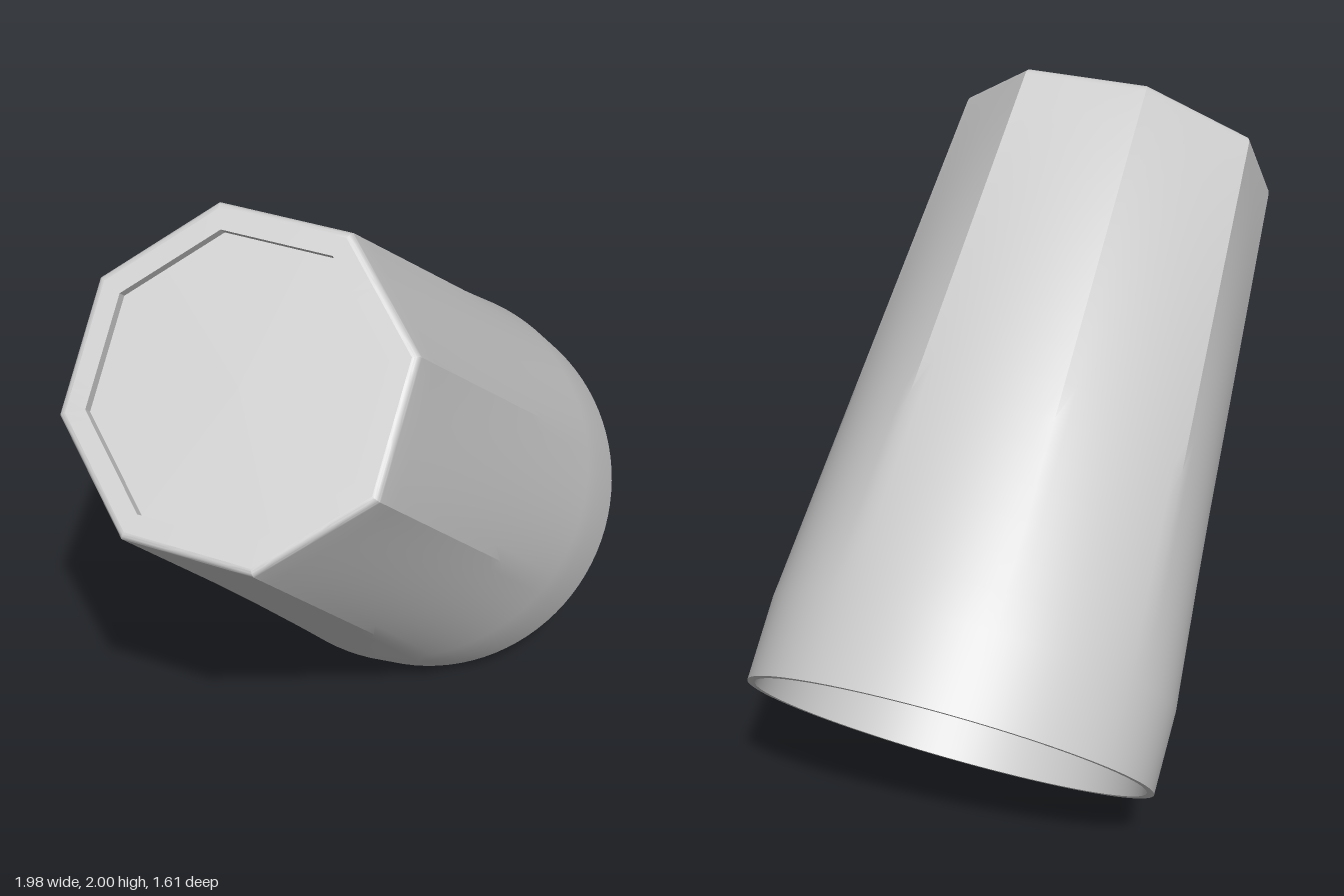
import * as THREE from 'three';
import { toCreasedNormals } from 'three/addons/utils/BufferGeometryUtils.js';

const SIDES = 8, SEGMENTS = 96;
const HALF = Math.PI / SIDES;
const material = new THREE.MeshStandardMaterial({ color: 0xcccccc });

// Distance from the axis at an angle: octagon = 0 gives a circle, 1 an octagon of that corner radius.
function radiusAt(angle, r, octagon) {
  const flat = r * Math.cos(HALF) / Math.cos((angle % (2 * HALF)) - HALF);
  return THREE.MathUtils.lerp(r, flat, octagon);
}

// Skin through rings given as [radius, height, octagon amount].
function skin(name, rings) {
  const positions = [], index = [];
  rings.forEach(([r, h, octagon], j) => {
    for (let i = 0; i < SEGMENTS; i++) {
      const angle = (i / SEGMENTS) * Math.PI * 2;
      const d = radiusAt(angle, r, octagon);
      positions.push(d * Math.cos(angle), h, d * Math.sin(angle));
      if (j === rings.length - 1) continue;
      const next = (i + 1) % SEGMENTS;
      const a = j * SEGMENTS + i, b = j * SEGMENTS + next;
      const c = a + SEGMENTS, e = b + SEGMENTS;
      if (r > 0) index.push(a, c, b);
      if (rings[j + 1][0] > 0) index.push(b, c, e);
    }
  });
  const geometry = new THREE.BufferGeometry();
  geometry.setAttribute('position', new THREE.Float32BufferAttribute(positions, 3));
  geometry.setIndex(index);
  const mesh = new THREE.Mesh(toCreasedNormals(geometry, 0.35), material);
  mesh.name = name;
  return mesh;
}

export function createModel() {
  const model = new THREE.Group();
  model.name = 'tiltedCup';
  const mouth = 0.588, base = 0.47, bandTop = 0.24, wallTop = 1.825, fillet = 0.02;

  // Outer wall: round band at the mouth, then a loft to the octagonal base
  const wall = [[mouth, 0, 0]];
  const steps = 16;
  for (let k = 0; k <= steps; k++) {
    const t = k / steps;
    wall.push([THREE.MathUtils.lerp(mouth, base, t), THREE.MathUtils.lerp(bandTop, wallTop, t), t]);
  }
  // Rounded edge around the base
  for (let k = 1; k <= 5; k++) {
    const a = (k / 5) * Math.PI / 2;
    wall.push([base - fillet * (1 - Math.cos(a)), wallTop + fillet * Math.sin(a), 1]);
  }
  model.add(skin('outerWall', wall));

  // Base: flat border and shallow octagonal recess
  const top = wallTop + fillet;
  model.add(skin('recessedBase', [
    [base - fillet, top, 1], [0.395, top, 1], [0.395, top - 0.03, 1], [0, top - 0.03, 1],
  ]));

  // Interior: round floor, filleted corner, tapering wall and lip
  const floor = 1.745, inside = [[0, floor, 0]];
  for (let k = 0; k <= 5; k++) {
    const a = (k / 5) * Math.PI / 2;
    inside.push([0.4 + 0.02 * Math.sin(a), floor - 0.02 * (1 - Math.cos(a)), 0]);
  }
  inside.push([0.567, 0, 0], [mouth, 0, 0]);
  model.add(skin('interiorAndLip', inside));

  // Lean the cup, base up and to the front
  const axis = new THREE.Vector3(-0.65, 0.68, 0.338).normalize();
  const corner = new THREE.Vector3(0.735, 0.677, 0.053);
  const z = corner.clone().cross(axis).normalize();
  const x = axis.clone().cross(z);
  model.quaternion.setFromRotationMatrix(new THREE.Matrix4().makeBasis(x, axis, z));
  model.position.set(0.541, 0.433, -0.253);

  const group = new THREE.Group();
  group.name = 'cup';
  group.add(model);
  return group;
}
